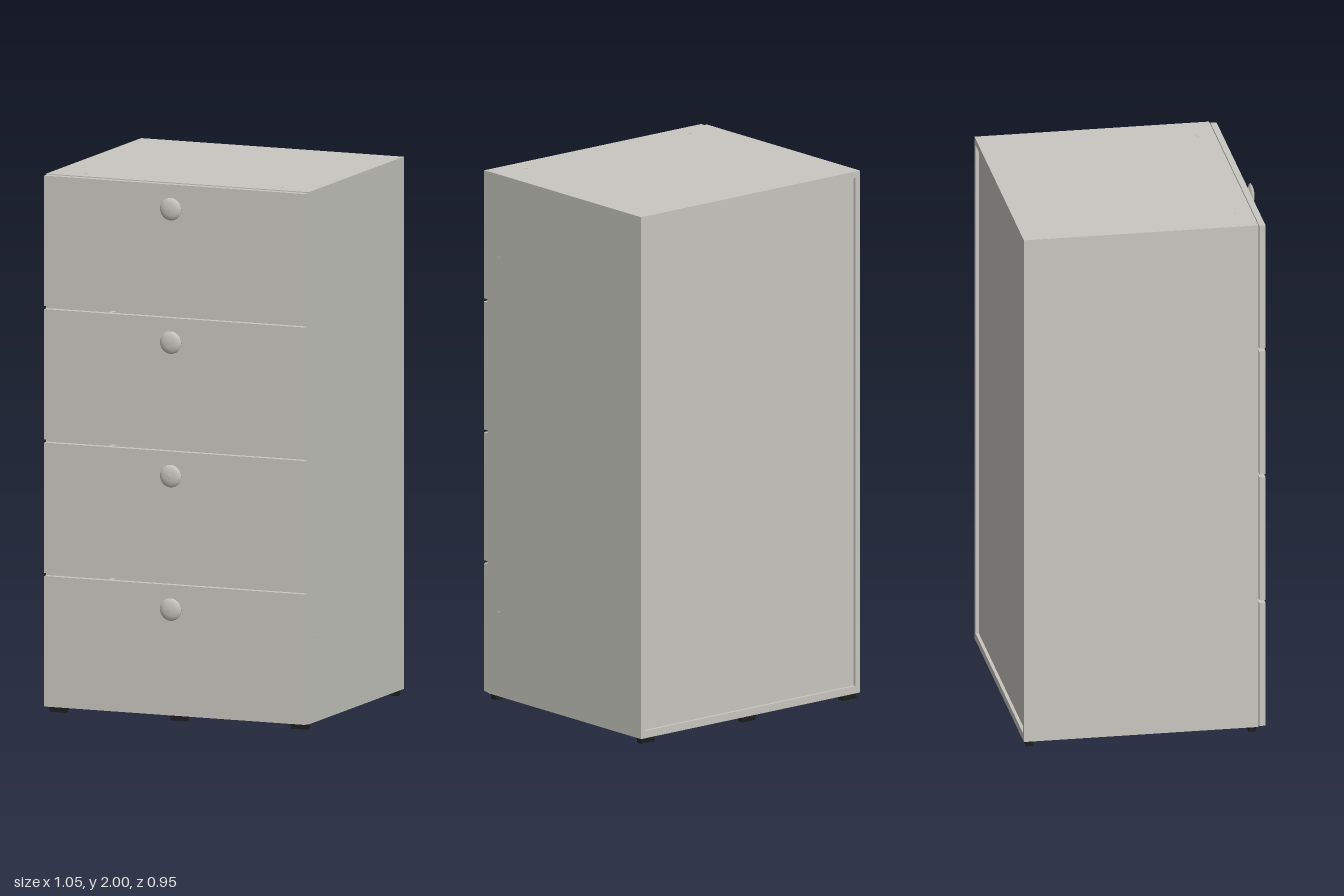
import * as THREE from 'three';

export function createModel() {
  const root = new THREE.Group();
  root.name = 'drawerCabinet';
  const lacquer = new THREE.MeshStandardMaterial({ name: 'warmGrey', color: 0xc8c7c0 });
  const rubber = new THREE.MeshStandardMaterial({ name: 'black', color: 0x1e1e1e });

  const add = (parent, name, geo, mat, x = 0, y = 0, z = 0) => {
    const m = new THREE.Mesh(geo, mat);
    m.name = name;
    m.position.set(x, y, z);
    parent.add(m);
    return m;
  };
  // Box given by its min and max on each axis
  const box = (parent, name, [x0, x1], [y0, y1], [z0, z1], mat = lacquer) =>
    add(parent, name, new THREE.BoxGeometry(x1 - x0, y1 - y0, z1 - z0), mat,
      (x0 + x1) / 2, (y0 + y1) / 2, (z0 + z1) / 2);

  // Carcass panels
  const W = 0.525, T = 0.022, back = -0.475, front = 0.398;
  box(root, 'topPanel', [-W, W], [1.976, 2], [back, front]);
  box(root, 'bottomPanel', [-W, W], [0.022, 0.05], [back, front]);
  box(root, 'leftPanel', [W - T, W], [0.05, 1.976], [back, front]);
  box(root, 'rightPanel', [-W, T - W], [0.05, 1.976], [back, front]);
  box(root, 'backPanel', [T - W, W - T], [0.05, 1.976], [back + 0.012, back + 0.024]);

  // Knob: stem flaring into a shallow domed head
  const profile = [[0.021, 0], [0.021, 0.026], [0.03, 0.029], [0.042, 0.034], [0.042, 0.037],
    [0.034, 0.043], [0.02, 0.047], [0, 0.048]].map(p => new THREE.Vector2(...p));
  const knobGeo = new THREE.LatheGeometry(profile, 40);

  // Four drawers with front, open tray and knob
  for (let i = 0; i < 4; i++) {
    const y = 0.024 + i * 0.496;
    const drawer = new THREE.Group();
    drawer.name = 'drawer' + (i + 1);
    root.add(drawer);
    box(drawer, 'drawerFront', [-0.521, 0.521], [y, y + 0.485], [0.402, 0.425]);
    const y0 = y + 0.05, y1 = y + 0.4;
    box(drawer, 'trayBase', [-0.48, 0.48], [y0, y0 + 0.012], [-0.42, 0.402]);
    box(drawer, 'trayBack', [-0.48, 0.48], [y0 + 0.012, y1], [-0.42, -0.405]);
    for (const s of [-1, 1]) {
      box(drawer, 'traySide', [s * 0.4725 - 0.0075, s * 0.4725 + 0.0075], [y0 + 0.012, y1], [-0.405, 0.402]);
    }
    add(drawer, 'knob', knobGeo, lacquer, 0, y + 0.4, 0.425).rotation.x = Math.PI / 2;
  }

  // Fixing caps on the top and the sides
  const capGeo = new THREE.CylinderGeometry(0.005, 0.005, 0.003, 16);
  for (const s of [-1, 1]) {
    add(root, 'topCap', capGeo, lacquer, s * 0.392, 2, 0.333);
    for (const y of [0.34, 1.685]) {
      add(root, 'sideCap', capGeo, lacquer, s * W, y, 0.336).rotation.z = Math.PI / 2;
    }
  }

  // Six ribbed feet
  for (const z of [-0.453, 0.378]) {
    for (const x of [-0.483, 0, 0.483]) {
      const foot = new THREE.Group();
      foot.name = 'foot';
      foot.position.set(x, 0, z);
      root.add(foot);
      box(foot, 'footPlate', [-0.033, 0.033], [0.008, 0.022], [-0.013, 0.013], rubber);
      for (let i = -2; i <= 2; i++) {
        box(foot, 'footRib', [i * 0.0135 - 0.0045, i * 0.0135 + 0.0045], [0, 0.008], [-0.013, 0.013], rubber);
      }
    }
  }
  return root;
}
